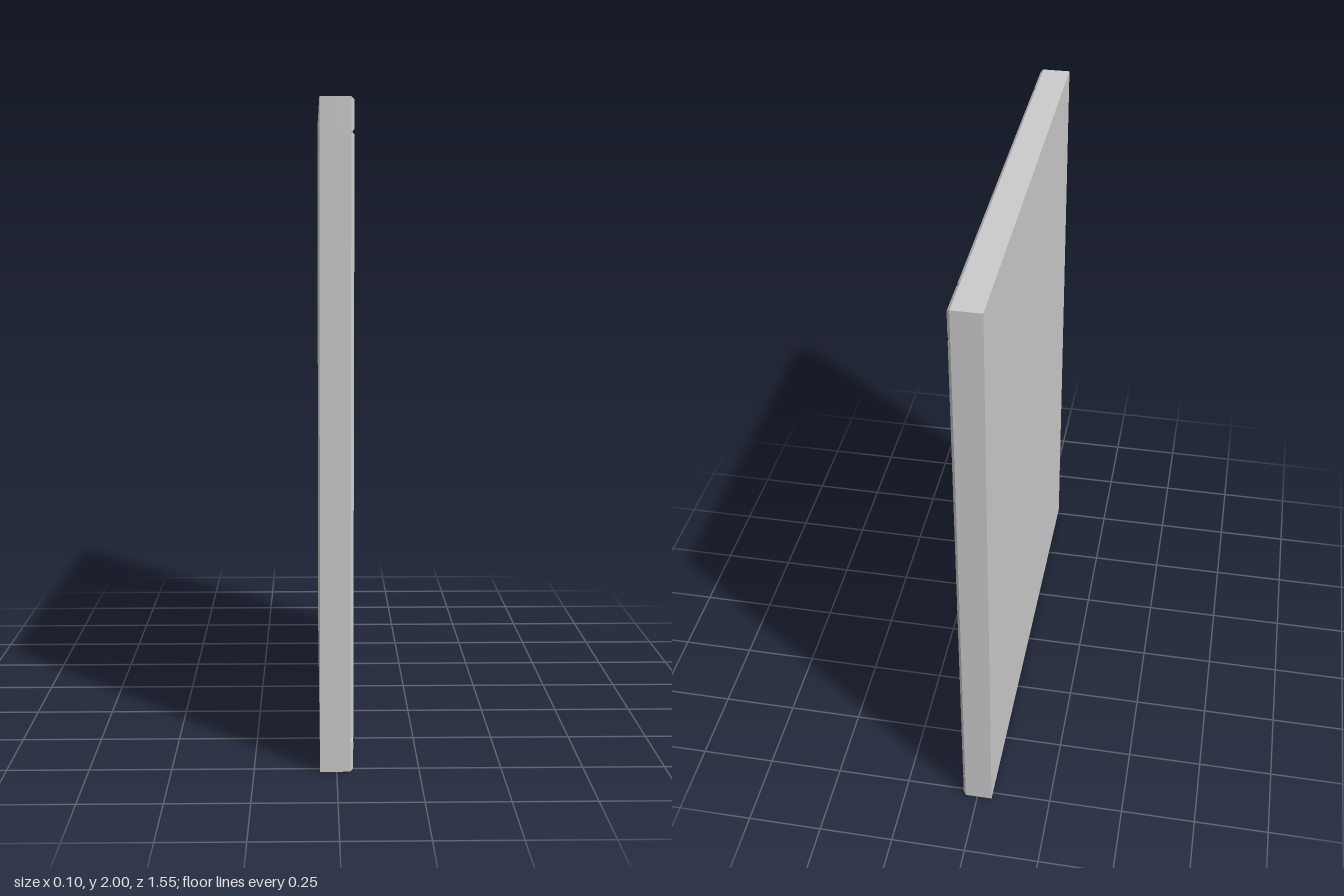
import * as THREE from 'three';

const BACK = -0.05, FLOOR = 0, SHOULDER = 0.041, FACE = 0.05;
const BEVEL = 0.008;
// Limits of the members: outer, inner, inner, outer
const Z = [-0.775, -0.637, 0.623, 0.775];
const Y = [0, 0.1, 1.902, 2];

// Frame block whose outward (+x) face is bevelled on all four edges;
// flare widens the foot of its +z side into a sloping return
function block(y0, y1, z0, z1, flare = 0) {
  const cy = (y0 + y1) / 2, cz = (z0 + z1) / 2;
  const geo = new THREE.BoxGeometry(2, y1 - y0, z1 - z0, 2, 1, 1);
  const p = geo.attributes.position;
  for (let i = 0; i < p.count; i++) {
    const level = Math.round(p.getX(i)); // -1 foot, 0 shoulder, 1 face
    const sy = Math.sign(p.getY(i)), sz = Math.sign(p.getZ(i));
    const inset = level === 1 ? BEVEL : 0;
    const spread = level === -1 && sz > 0 ? flare : 0;
    p.setXYZ(i, [FLOOR, SHOULDER, FACE][level + 1],
      cy + p.getY(i) - sy * inset,
      cz + p.getZ(i) - sz * inset + spread);
  }
  const flat = geo.toNonIndexed();
  flat.computeVertexNormals();
  return flat;
}

export function createModel() {
  const model = new THREE.Group();
  model.name = 'framedPanel';
  const material = new THREE.MeshStandardMaterial({ color: 0xcccccc, flatShading: true });
  const add = (name, geo) => {
    const mesh = new THREE.Mesh(geo, material);
    mesh.name = name;
    model.add(mesh);
    return mesh;
  };

  // Solid backing panel, also the floor of the recess
  const panel = add('backPanel', new THREE.BoxGeometry(FLOOR - BACK, 2, Z[3] - Z[0]));
  panel.position.set((BACK + FLOOR) / 2, 1, 0);

  // Border: corner blocks, rails and posts around the open middle
  const rows = ['bottom', 'middle', 'top'], cols = ['Rear', 'Centre', 'Front'];
  for (let r = 0; r < 3; r++) {
    for (let c = 0; c < 3; c++) {
      if (r === 1 && c === 1) continue;
      const kind = r === 1 ? 'Post' : c === 1 ? 'Rail' : 'Corner';
      const flare = r === 1 && c === 0 ? 0.022 : 0; // rear post has a sloping return
      add(rows[r] + cols[c] + kind, block(Y[r], Y[r + 1], Z[c], Z[c + 1], flare));
    }
  }
  return model;
}
